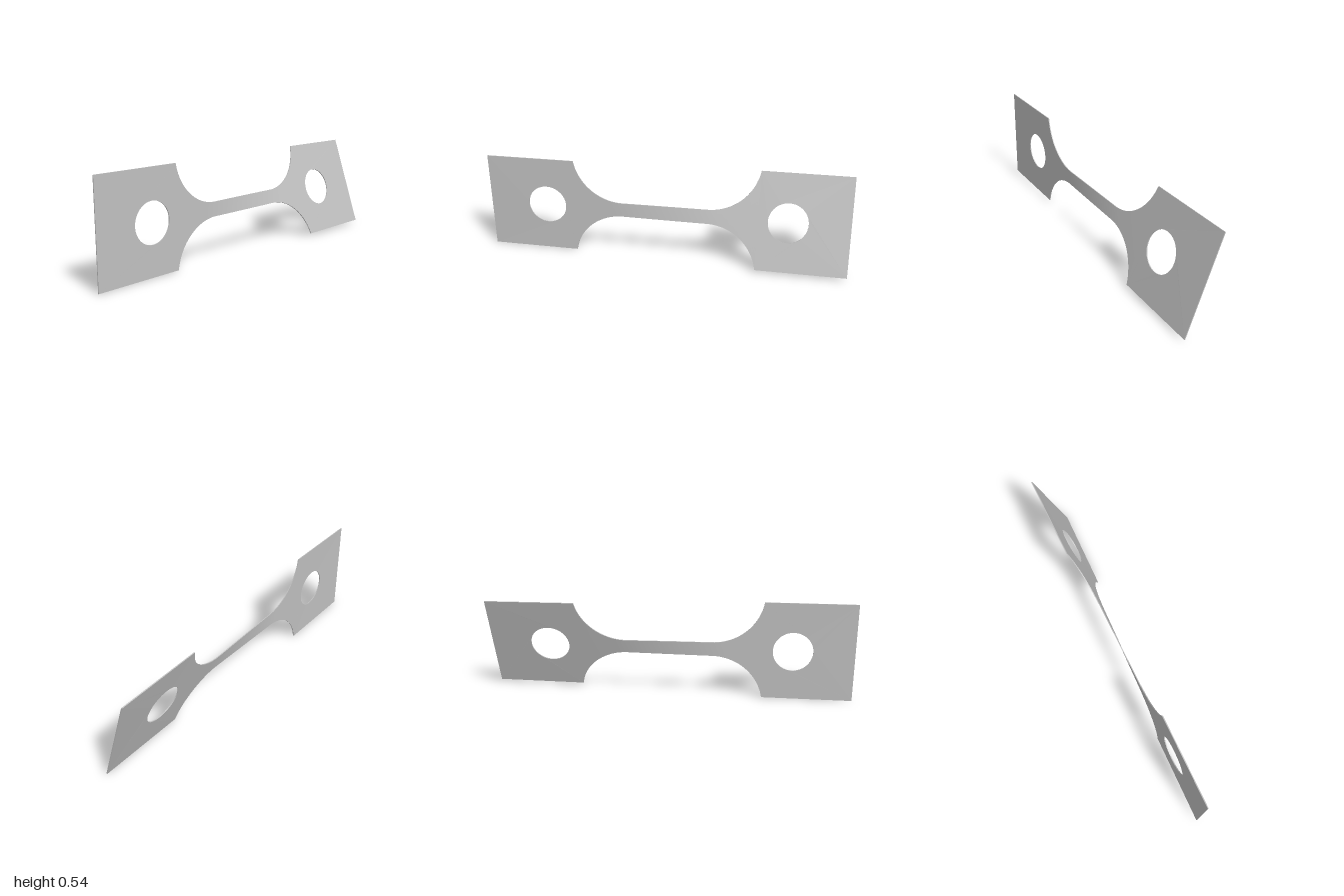
import * as THREE from 'three';

const THICK = 0.005, HALF = 0.271, NECK = 0.039, PAD_X = 0.51, NECK_X = 0.235;

// Twist angle along the bar: nearly all of it happens in the slender neck
const TWIST = [[-1, 0.4], [-0.3, 1], [0.3, 17.5], [1, 18.8]];
function twistAt(x) {
  let i = 0;
  while (i < TWIST.length - 2 && x > TWIST[i + 1][0]) i++;
  const [x0, a0] = TWIST[i], [x1, a1] = TWIST[i + 1];
  return THREE.MathUtils.degToRad(a0 + (a1 - a0) * (x - x0) / (x1 - x0));
}

// Half height of the neck, with round fillets growing into the pads
function halfHeight(x) {
  const run = PAD_X - NECK_X, rise = HALF - NECK;
  const r = (run * run + rise * rise) / (2 * rise);
  const d = Math.max(0, Math.abs(x) - NECK_X);
  return NECK + r - Math.sqrt(Math.max(0, r * r - d * d));
}

// Rotate each cross-section about the long axis and lift to the ground
function twist(geo) {
  const p = geo.attributes.position;
  for (let i = 0; i < p.count; i++) {
    const x = p.getX(i), y = p.getY(i), z = p.getZ(i), a = -twistAt(x);
    p.setXYZ(i, x, HALF + y * Math.cos(a) - z * Math.sin(a), y * Math.sin(a) + z * Math.cos(a));
  }
  geo.computeVertexNormals();
  return geo;
}

// Square gripping pad with a round pin hole
function padGeometry(side) {
  const a = side * PAD_X, b = side;
  const x0 = Math.min(a, b), x1 = Math.max(a, b);
  const shape = new THREE.Shape();
  shape.moveTo(x0, -HALF).lineTo(x1, -HALF).lineTo(x1, HALF).lineTo(x0, HALF).closePath();
  const hole = new THREE.Path();
  hole.absarc(side * 0.67, 0, 0.108, 0, Math.PI * 2, true);
  shape.holes.push(hole);
  const geo = new THREE.ExtrudeGeometry(shape, { depth: THICK, bevelEnabled: false, curveSegments: 32 });
  return twist(geo.translate(0, 0, -THICK / 2));
}

// Slender neck with flared ends
function neckGeometry() {
  const geo = new THREE.BoxGeometry(2 * PAD_X, 2, THICK, 120, 4, 1);
  const p = geo.attributes.position;
  for (let i = 0; i < p.count; i++) p.setY(i, p.getY(i) * halfHeight(p.getX(i)));
  return twist(geo);
}

export function createModel() {
  const group = new THREE.Group();
  group.name = 'twistedTestSpecimen';
  const steel = new THREE.MeshStandardMaterial({ color: 0xc0c0c0 });
  steel.name = 'plain grey';

  const add = (name, geo) => {
    const mesh = new THREE.Mesh(geo, steel);
    mesh.name = name;
    group.add(mesh);
  };
  add('neck', neckGeometry());
  add('leftPad', padGeometry(1));
  add('rightPad', padGeometry(-1));
  return group;
}
